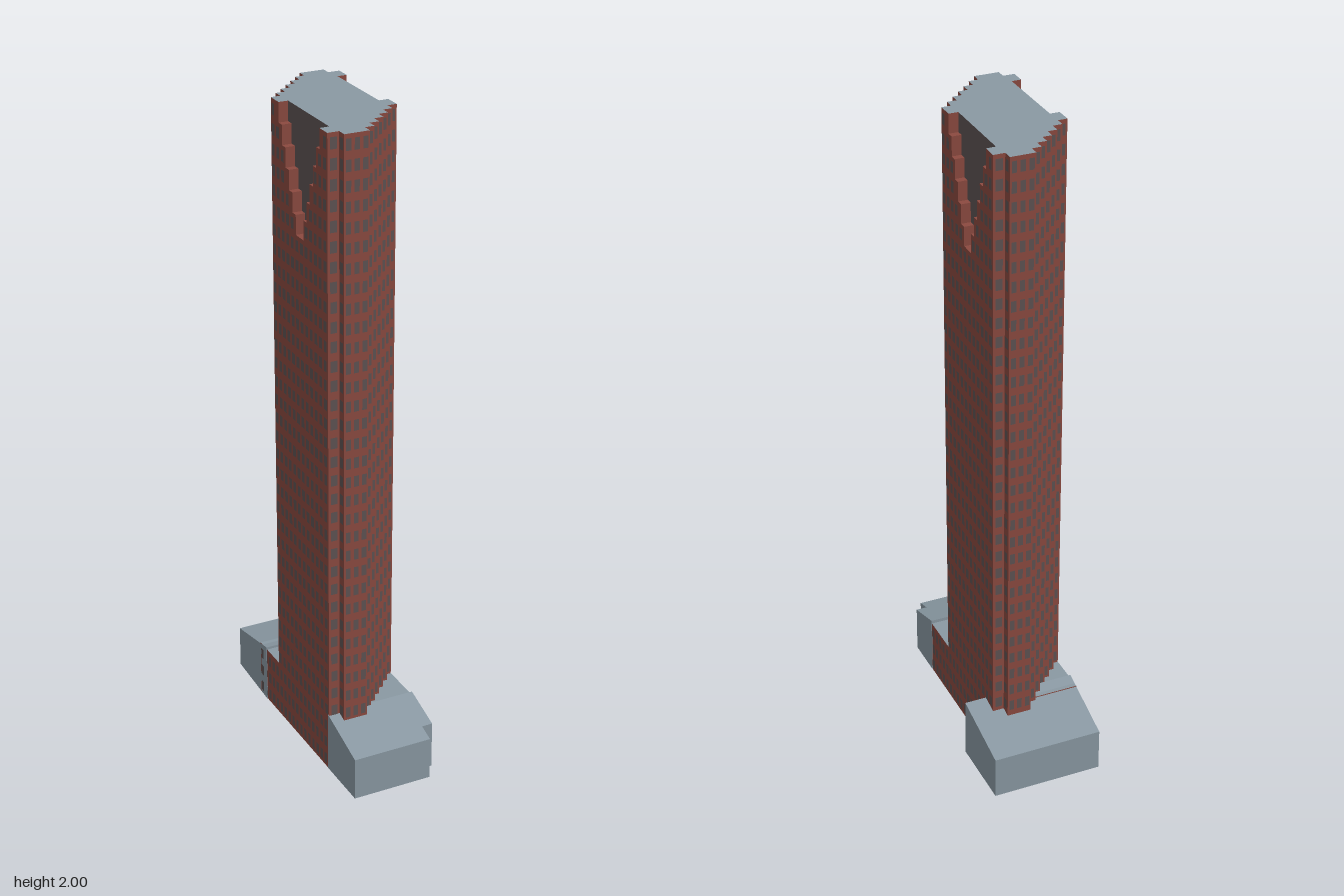
import * as THREE from 'three';

const mat = (name, color) => {
  const m = new THREE.MeshStandardMaterial({ color, side: THREE.DoubleSide });
  m.name = name;
  return m;
};

const FLOORS = 34, FLOOR = 2 / FLOORS, NOTCH_FLOORS = 6, BASE_FLOORS = 3;
const CX = -0.033;                 // tower axis; the plan is point-symmetric about it
const SIDE = 0.141, DEPTH = 0.029, NOTCH_Z = -0.0725;
const notchHalf = k => 0.024 + 0.0207 * k;

// Mirror half a plan through the tower axis to get the whole plan
const complete = half => [...half, ...half.map(([x, z]) => [-x, -z])].map(([x, z]) => [x + CX, z]);
const edges = pts => pts.map((p, i) => [p, pts[(i + 1) % pts.length]]);

// Staircase corner followed by the blunt end of the tower
function steps() {
  const pts = [];
  for (let i = 0; i <= 6; i++) {
    const x = SIDE - 0.0285 * i, z = 0.105 + 0.0287 * i;
    if (i > 0) pts.push([x, z - 0.0287]);
    pts.push([x, z]);
  }
  return pts;
}
const blunt = [[-0.106, 0.277], [-0.106, 0.247]];
const plan = complete([[SIDE, -0.247], ...steps(), ...blunt]);
const notchedPlan = k => {
  const a = NOTCH_Z - notchHalf(k), b = NOTCH_Z + notchHalf(k), d = SIDE - DEPTH;
  return complete([[SIDE, -0.247], [SIDE, a], [d, a], [d, b], [SIDE, b], ...steps(), ...blunt]);
};

// Quads with corners listed anticlockwise from outside
function quadGeometry(quads) {
  const pos = [];
  for (const [a, b, c, d] of quads) pos.push(...a, ...b, ...c, ...a, ...c, ...d);
  const g = new THREE.BufferGeometry();
  g.setAttribute('position', new THREE.Float32BufferAttribute(pos, 3));
  g.computeVertexNormals();
  return g;
}
const wall = ([[ax, az], [bx, bz]], y0, top) => {
  const h = typeof top === 'function' ? top : () => top;
  return [[bx, y0, bz], [ax, y0, az], [ax, h(az), az], [bx, h(bz), bz]];
};

// Flat or sloping lid over a plan
function capGeometry(pts, height) {
  const shape = new THREE.Shape(pts.map(([x, z]) => new THREE.Vector2(x, -z)));
  const g = new THREE.ShapeGeometry(shape).rotateX(-Math.PI / 2);
  const p = g.attributes.position;
  for (let i = 0; i < p.count; i++) p.setY(i, height(p.getZ(i)));
  g.computeVertexNormals();
  return g;
}

// One window per bay of an edge, set just proud of the wall
function windowsOn(edge, floor, blocked = () => false) {
  const [[ax, az], [bx, bz]] = edge;
  const len = Math.hypot(bx - ax, bz - az);
  const n = Math.max(1, Math.round(len / 0.029)), w = 0.3 / n;
  const ox = (bz - az) / len * 0.0012, oz = -(bx - ax) / len * 0.0012;
  const at = t => [ax + (bx - ax) * t + ox, az + (bz - az) * t + oz];
  const out = [];
  for (let i = 0; i < n; i++) {
    const t = (i + 0.5) / n, e = [at(t - w), at(t + w)];
    if (len > 0.2 && blocked(at(t))) continue;
    out.push(wall(e, (floor + 0.2) * FLOOR, (floor + 0.78) * FLOOR));
  }
  return out;
}

export function createModel() {
  const brick = mat('red brick', 0x8c4a40);
  const glass = mat('dark glass', 0x5e5353);
  const stone = mat('blue grey roof', 0x8a99a3);
  const group = new THREE.Group();
  group.name = 'tower';
  const add = (name, geo, m) => {
    const mesh = new THREE.Mesh(geo, m);
    mesh.name = name;
    group.add(mesh);
  };

  // Tower shaft, then the upper floors with widening notches in both sides
  const shaftTop = (FLOORS - NOTCH_FLOORS) * FLOOR;
  const brickWalls = edges(plan).map(e => wall(e, 0, shaftTop));
  const notchGlass = [], ledges = [];
  for (let k = 0; k < NOTCH_FLOORS; k++) {
    const y = shaftTop + k * FLOOR, pts = notchedPlan(k);
    edges(pts).forEach((e, i) => {
      const recess = i % (pts.length / 2) === 2;
      (recess ? notchGlass : brickWalls).push(wall(e, y, y + FLOOR));
    });
    // Stepped ledges on the notch sides
    const h = notchHalf(k), inner = k ? notchHalf(k - 1) : 0;
    for (const s of [-1, 1]) for (const t of [-1, 1]) {
      const zs = [s * NOTCH_Z + t * inner, s * NOTCH_Z + t * h].sort((a, b) => a - b);
      const xs = [CX - s * SIDE, CX - s * (SIDE - DEPTH)].map(x => 2 * CX - x).sort((a, b) => a - b);
      ledges.push([[xs[0], y, zs[1]], [xs[1], y, zs[1]], [xs[1], y, zs[0]], [xs[0], y, zs[0]]]);
    }
  }
  add('towerWalls', quadGeometry(brickWalls), brick);
  add('notchBackWalls', quadGeometry(notchGlass), glass);
  add('notchLedges', quadGeometry(ledges), brick);
  add('towerRoof', capGeometry(notchedPlan(NOTCH_FLOORS - 1), () => 2), stone);

  // Low corner blocks that square off the two staircase corners
  const baseTop = 0.18;
  const corner = [...steps(), [-0.03, 0.24], [SIDE, 0.24]];
  for (const s of [1, -1]) {
    const pts = corner.map(([x, z]) => [CX + s * x, s * Math.min(z, 0.24)]);
    const side = [pts[0], pts[pts.length - 1]], end = [pts[pts.length - 1], pts[pts.length - 2]];
    add('cornerBlockWalls', quadGeometry([side, end].map(e => wall(e, 0, baseTop))), brick);
    add('cornerBlockRoof', capGeometry(pts, () => baseTop), stone);
  }

  // Windows, floor by floor
  const basePlan = complete([[SIDE, -0.24], [SIDE, 0.24]]);
  const panes = [];
  for (let f = 0; f < FLOORS; f++) {
    const k = f - (FLOORS - NOTCH_FLOORS);
    const blocked = ([x, z]) =>
      k >= 0 && Math.abs(z - Math.sign(x - CX) * NOTCH_Z) < notchHalf(k) + 0.01;
    for (const e of edges(f < BASE_FLOORS ? basePlan : plan)) {
      if (f < BASE_FLOORS && e[0][1] === e[1][1]) continue;
      panes.push(...windowsOn(e, f, blocked));
    }
  }
  add('windows', quadGeometry(panes), glass);

  // Hollow wings with sloping roofs at the front and back
  const wing = (name, pts, height) => {
    add(name + 'Walls', quadGeometry(edges(pts).map(e => wall(e, 0, height))), stone);
    add(name + 'Roof', capGeometry(pts, height), stone);
  };
  wing('frontWing',
    [[0.109, 0.241], [0.109, 0.37], [0.075, 0.37], [0.075, 0.42], [-0.175, 0.42], [-0.175, 0.241]],
    z => 0.19 - (z - 0.241) * 0.31);
  wing('backWing',
    [[0.176, -0.42], [0.176, -0.192], [-0.176, -0.192], [-0.166, -0.42]],
    z => 0.188 + (z + 0.192) * 0.235);

  // The whole plan is turned very slightly
  group.rotation.y = 0.014;
  const model = new THREE.Group();
  model.name = 'skyscraper';
  model.add(group);
  return model;
}
